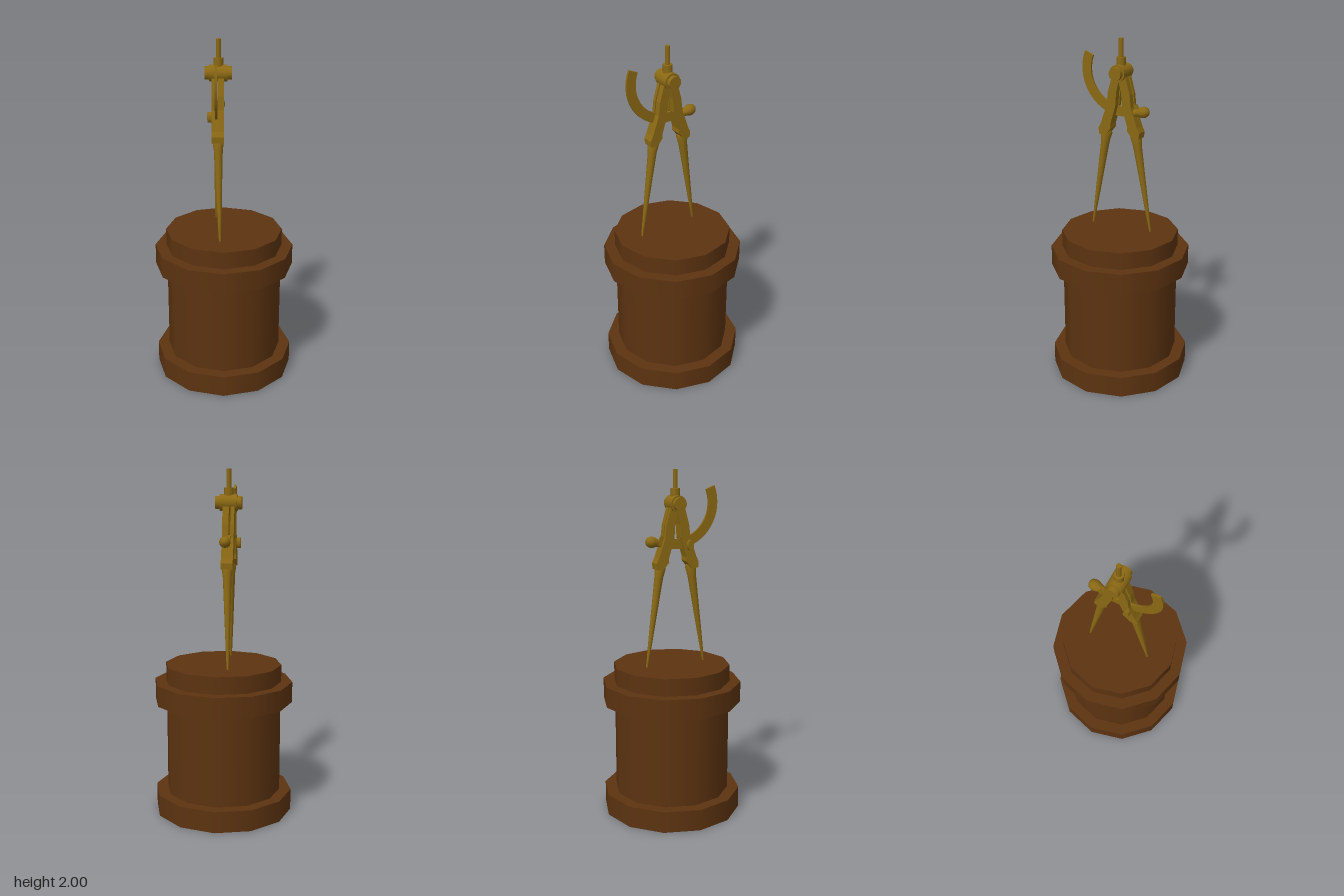
import * as THREE from 'three';

const X = -0.03, Z = 0.01, HINGE_Y = 1.813; // compass axis and hinge height

export function createModel() {
  const root = new THREE.Group();
  const wood = new THREE.MeshStandardMaterial({ color: 0x5c3310 });
  const brass = new THREE.MeshStandardMaterial({ color: 0x8b6914 });

  const add = (parent, name, geo, mat, x = 0, y = 0, z = 0) => {
    const m = new THREE.Mesh(geo, mat);
    m.name = name;
    m.position.set(x, y, z);
    parent.add(m);
    return m;
  };

  // Twelve-sided pedestal, stacked drums
  const pedestal = new THREE.Group();
  pedestal.name = 'pedestal';
  root.add(pedestal);
  for (const [name, r, y0, y1] of [
    ['baseRing', 0.405, 0, 0.125],
    ['column', 0.337, 0.125, 0.665],
    ['upperRing', 0.405, 0.665, 0.785],
    ['topCap', 0.34, 0.785, 0.885],
  ]) add(pedestal, name, new THREE.CylinderGeometry(r, r, y1 - y0, 12), wood, 0, (y0 + y1) / 2, 0);

  // Pair of dividers standing on the pedestal
  const dividers = new THREE.Group();
  dividers.name = 'dividers';
  root.add(dividers);

  // Hinge barrel with end caps, lying along x
  for (const [name, r, len] of [['hingeBarrel', 0.047, 0.1], ['hingePin', 0.037, 0.15]])
    add(dividers, name, new THREE.CylinderGeometry(r, r, len, 16).rotateZ(Math.PI / 2), brass, X, HINGE_Y, Z);

  // Handle stem and collar
  add(dividers, 'collar', new THREE.CylinderGeometry(0.027, 0.027, 0.06, 8), brass, X, 1.867, Z);
  add(dividers, 'stem', new THREE.CylinderGeometry(0.014, 0.014, 0.11, 8), brass, X, 1.945, Z);

  // Slab with its outline in the zy plane, spanning x0..x1
  const slab = (shape, x0, x1) => new THREE.ExtrudeGeometry(shape, { depth: x1 - x0, bevelEnabled: false, curveSegments: 24 })
    .rotateY(-Math.PI / 2).translate(x1, 0, 0);

  // Upper leg in two cheeks (the arc runs in the slot), knuckle, round spike
  const cheek = [[0.0, 1.765], [0.03, 1.83], [0.045, 1.783], [0.069, 1.698], [0.077, 1.624], [0.116, 1.513], [0.054, 1.513], [0.021, 1.624], [0.016, 1.698]];
  const joint = [[0.08, 1.61], [0.116, 1.513], [0.13, 1.485], [0.127, 1.45], [0.085, 1.45], [0.053, 1.49], [0.054, 1.513], [0.026, 1.61]];
  for (const [name, side, tipX] of [['frontLeg', 1, -0.022], ['backLeg', -1, -0.047]]) {
    const leg = new THREE.Group();
    leg.name = name;
    leg.position.z = Z;
    dividers.add(leg);
    const outline = pts => new THREE.Shape(pts.map(([u, y]) => new THREE.Vector2(u * side, y)));
    add(leg, 'rightCheek', slab(outline(cheek), -0.067, -0.046), brass);
    add(leg, 'leftCheek', slab(outline(cheek), -0.036, 0), brass);
    add(leg, 'knuckle', slab(outline(joint), -0.067, 0), brass);

    const top = new THREE.Vector3(X - 0.002, 1.475, 0.092 * side);
    const tip = new THREE.Vector3(tipX, 0.885, 0.185 * side);
    const dir = top.clone().sub(tip), len = dir.length();
    const profile = [[0, 0], [0.006, 0.01], [0.013, 0.3], [0.02, 0.65], [0.025, 0.88], [0.033, 0.97], [0.02, 1], [0, 1]]
      .map(([r, t]) => new THREE.Vector2(r, t * len));
    const spike = add(leg, 'spike', new THREE.LatheGeometry(profile, 12), brass, tip.x, tip.y, tip.z);
    spike.quaternion.setFromUnitVectors(new THREE.Vector3(0, 1, 0), dir.normalize());
  }

  // Curved setting arc centred on the hinge
  const a0 = THREE.MathUtils.degToRad(22), a1 = THREE.MathUtils.degToRad(-118);
  const arc = new THREE.Shape();
  arc.absarc(0, 0, 0.253, a0, a1, true);
  arc.absarc(0, 0, 0.197, a1, a0, false);
  add(dividers, 'settingArc', slab(arc, -0.048, -0.035), brass, 0, HINGE_Y, Z);

  // Thumb screw out of the back leg
  const screw = [[0, 0], [0.02, 0], [0.02, 0.05], [0.024, 0.065], [0.031, 0.082], [0.032, 0.1], [0.024, 0.118], [0.01, 0.127], [0, 0.128]]
    .map(([r, h]) => new THREE.Vector2(r, h));
  const thumb = add(dividers, 'thumbScrew', new THREE.LatheGeometry(screw, 12), brass, -0.026, 1.585, -0.042);
  thumb.rotation.x = -Math.PI / 2 + 0.2;

  // Locking screw on the right of the front leg
  const lock = add(dividers, 'lockingScrew', new THREE.CylinderGeometry(0.03, 0.03, 0.03, 12).rotateZ(Math.PI / 2), brass, -0.076, 1.582, 0.081);
  lock.scale.z = 0.6;

  return root;
}
